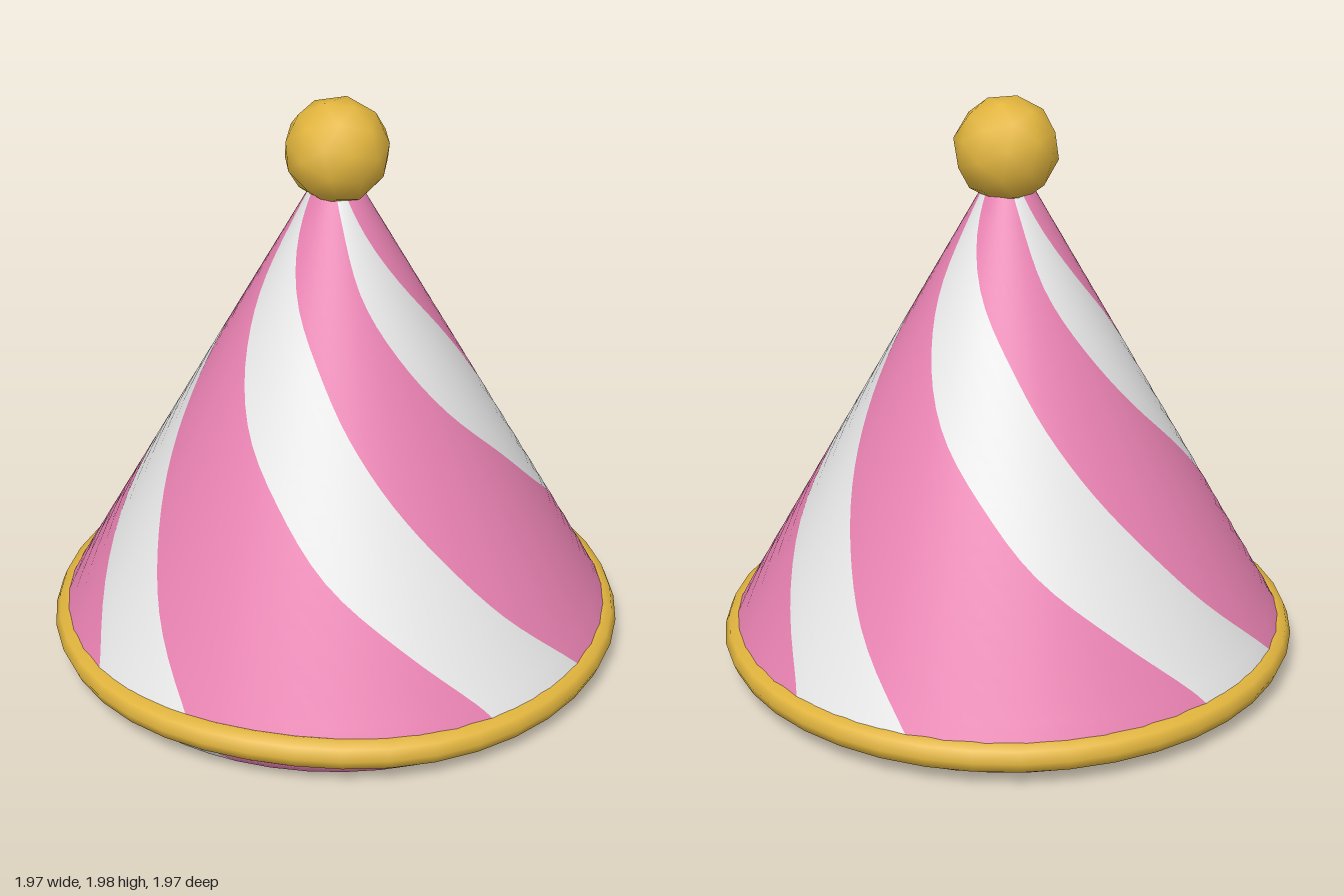
import * as THREE from 'three';
import { mergeVertices } from 'three/addons/utils/BufferGeometryUtils.js';

const material = (name, color, side = THREE.FrontSide) => {
  const m = new THREE.MeshStandardMaterial({ color, side });
  m.name = name;
  return m;
};

// Swirl edges of one white stripe: [left angle, height, right angle] in degrees
const swirl = [
  [-62, 1.68, -40], [-55, 1.6, -30], [-45, 1.4, -6], [-29, 1.2, 16], [-12, 1.0, 31],
  [7, 0.8, 44.5], [23, 0.6, 57.5], [41, 0.4, 69.5], [56, 0.2, 82.5], [60, 0.12, 87],
];
// Rounded lower edge: [left angle, height, right angle, radius]
const hem = [[62, 0.06, 91, 0.935], [65, 0.025, 95, 0.91], [66, 0.005, 97, 0.86]];

const STRIPES = 4, WHITE_COLS = 5, PINK_COLS = 8;

// Cone with shared vertices; groups paint the spiral stripes
function coneGeometry() {
  const curve = new THREE.CatmullRomCurve3(swirl.map((p) => new THREE.Vector3(...p)), false, 'centripetal');
  const rows = curve.getPoints(36).map((p) => [p.x, p.y, p.z, 1.024 - 0.56 * p.y]).concat(hem);
  const per = WHITE_COLS + PINK_COLS, cols = STRIPES * per;
  const pos = [], white = [], pink = [];
  for (const [left, y, right, r] of rows) {
    for (let j = 0; j < cols; j++) {
      const k = j % per;
      const local = k < WHITE_COLS
        ? left + (right - left) * k / WHITE_COLS
        : right + (left + 90 - right) * (k - WHITE_COLS) / PINK_COLS;
      const a = THREE.MathUtils.degToRad(local + 90 * Math.floor(j / per));
      pos.push(r * Math.sin(a), y, r * Math.cos(a));
    }
  }
  for (let i = 0; i < rows.length - 1; i++) {
    for (let j = 0; j < cols; j++) {
      const a = i * cols + j, b = i * cols + (j + 1) % cols;
      (j % per < WHITE_COLS ? white : pink).push(a, a + cols, b + cols, a, b + cols, b);
    }
  }
  const g = new THREE.BufferGeometry();
  g.setAttribute('position', new THREE.Float32BufferAttribute(pos, 3));
  g.setIndex([...white, ...pink]);
  g.addGroup(0, white.length, 0);
  g.addGroup(white.length, pink.length, 1);
  g.computeVertexNormals();
  return g;
}

// Jagged white patches on the underside, on a unit disc turned by 45 degrees
const patches = [
  [[-0.97, -0.25], [-0.62, -0.78], [-0.41, -0.58], [-0.56, -0.28], [0.08, -0.67], [-0.13, 0.25],
    [-0.15, 0.55], [-0.27, 0.95], [-0.73, 0.62], [-0.38, 0.33], [-0.68, -0.2], [-0.97, -0.2]],
  [[0.1, -0.55], [-0.05, 0.55], [0.25, 0.55], [0.28, 0.4], [0.2, 0.1]],
  [[0.3, 0.25], [0.87, 0.45], [0.62, 0.78], [0.25, 0.35]],
  [[0.12, -0.68], [0.3, -0.95], [0.76, -0.62], [0.6, -0.45], [0.7, -0.3], [0.25, -0.5]],
];

export function createModel() {
  const white = material('white', 0xebebeb);
  const pink = material('pink', 0xe982b2);
  const gold = material('gold', 0xe2b53e);
  const hat = new THREE.Group();
  hat.name = 'partyHat';
  const add = (name, geometry, mat) => {
    const mesh = new THREE.Mesh(geometry, mat);
    mesh.name = name;
    hat.add(mesh);
    return mesh;
  };

  add('stripedCone', coneGeometry(), [white, pink]);

  // Underside
  add('baseDisc', new THREE.CircleGeometry(0.862, 52).rotateX(Math.PI / 2), pink).position.y = 0.005;
  const R = 0.86 * Math.SQRT1_2;
  const shapes = patches.map((pts) =>
    new THREE.Shape(pts.map(([a, b]) => new THREE.Vector2((b - a) * R, (a + b) * R))));
  add('basePatches', new THREE.ShapeGeometry(shapes).rotateX(Math.PI / 2), white);

  // Trim ring, lifted in a soft wave at the front
  const ring = new THREE.TorusGeometry(0.935, 0.052, 8, 40).rotateX(Math.PI / 2);
  const p = ring.attributes.position;
  for (let i = 0; i < p.count; i++) {
    const angle = Math.atan2(p.getX(i), p.getZ(i)) - 0.2;
    p.setY(i, p.getY(i) + 0.1 + 0.026 * Math.exp(-((angle / 0.5) ** 2)));
  }
  add('trimRing', ring, gold);

  // Faceted outline with smooth shading
  let ball = new THREE.IcosahedronGeometry(0.175, 1);
  ball.deleteAttribute('normal');
  ball.deleteAttribute('uv');
  ball = mergeVertices(ball);
  ball.computeVertexNormals();
  const pompom = add('pompom', ball, gold);
  pompom.position.set(0.005, 1.808, 0);
  pompom.rotation.set(0.2, 0.3, 0.15);

  return hat;
}
